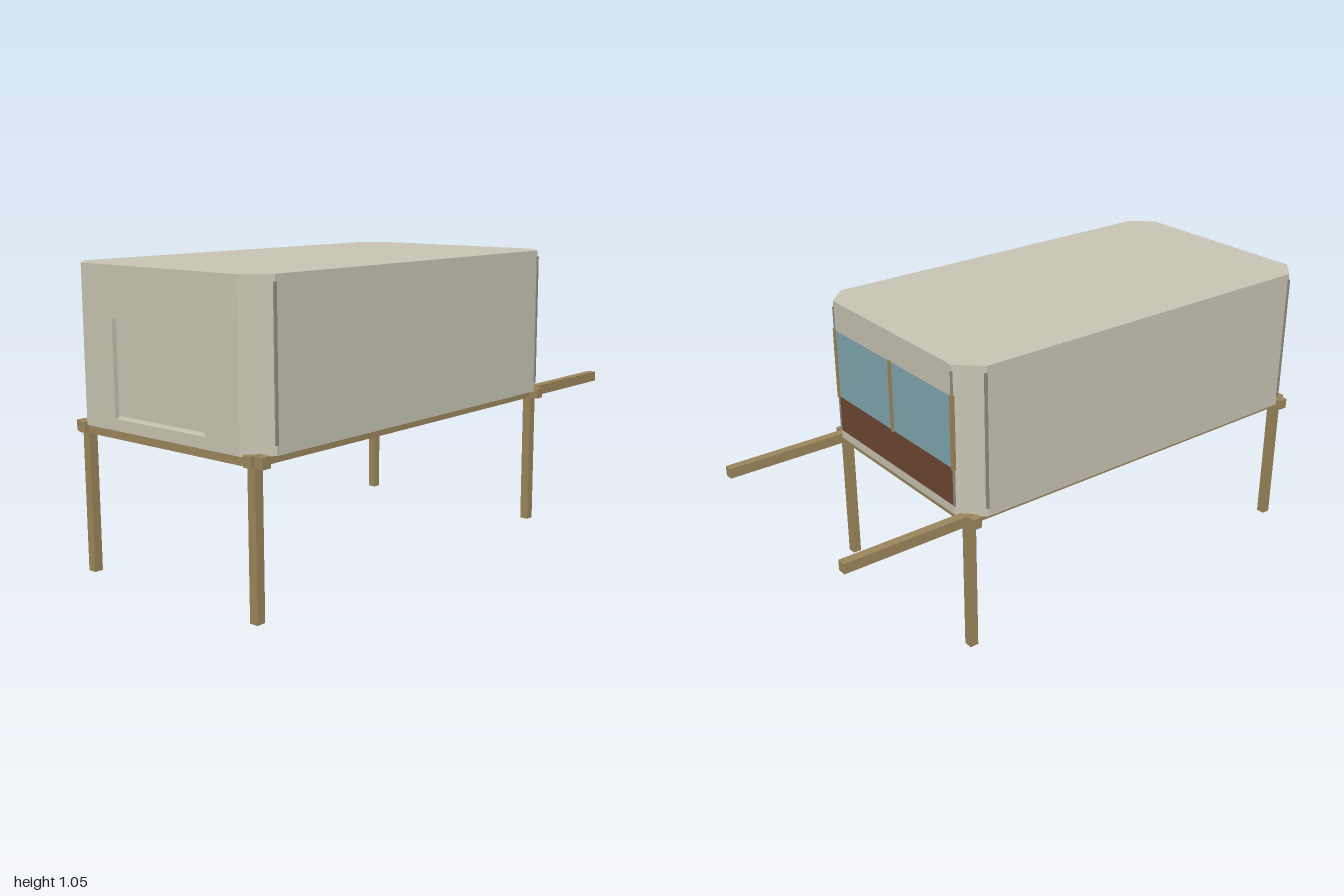
import * as THREE from 'three';

export function createModel() {
  const root = new THREE.Group();
  root.name = 'raisedCabin';

  const mat = (name, color) => {
    const m = new THREE.MeshStandardMaterial({ color });
    m.name = name;
    return m;
  };
  const cream = mat('cream', 0xc8c4b4);
  const grey = mat('grey', 0x8f8d84);
  const wood = mat('wood', 0x9c865c);
  const brown = mat('brown', 0x6e4630);
  const glass = mat('glass', 0x82a7b1);

  const add = (name, geometry, material) => {
    const mesh = new THREE.Mesh(geometry, material);
    mesh.name = name;
    root.add(mesh);
    return mesh;
  };
  // Box given by its minimum and maximum corners
  const box = (name, material, x0, x1, y0, y1, z0, z1) => {
    const mesh = add(name, new THREE.BoxGeometry(x1 - x0, y1 - y0, z1 - z0), material);
    mesh.position.set((x0 + x1) / 2, (y0 + y1) / 2, (z0 + z1) / 2);
    return mesh;
  };
  // Upright panel between two plan points, facing outward when run counter-clockwise
  const panel = (name, material, [xa, za], [xb, zb], y0, y1) => {
    const dx = xb - xa, dz = zb - za;
    const mesh = add(name, new THREE.PlaneGeometry(Math.hypot(dx, dz), y1 - y0), material);
    mesh.position.set((xa + xb) / 2, (y0 + y1) / 2, (za + zb) / 2);
    mesh.rotation.y = Math.atan2(-dz, dx);
    return mesh;
  };

  const X0 = -1, X1 = 0.555, Z = 0.435, C = 0.077;
  const BASE = 0.52, TOP = 1.047;

  // Plan outline with cut corners, starting on the front wall
  const outline = [
    [X0 + C, Z], [X1 - C, Z], [X1, Z - C], [X1, C - Z],
    [X1 - C, -Z], [X0 + C, -Z], [X0, C - Z], [X0, Z - C],
  ];
  const plan = new THREE.Shape(outline.map(([x, z]) => new THREE.Vector2(x, -z)));

  // Roof and floor
  const roof = add('roof', new THREE.ShapeGeometry(plan), cream);
  roof.rotation.x = -Math.PI / 2;
  roof.position.y = TOP;
  const floor = add('floor', new THREE.ExtrudeGeometry(plan, { depth: 0.012, bevelEnabled: false }), cream);
  floor.rotation.x = -Math.PI / 2;
  floor.position.y = 0.514;

  // Long walls and cut corners
  const wallNames = { 0: 'frontWall', 1: 'corner', 3: 'corner', 4: 'backWall', 5: 'corner', 7: 'corner' };
  for (const i in wallNames) {
    panel(wallNames[i], cream, outline[i], outline[(+i + 1) % 8], BASE, TOP);
  }

  // Glazed end: bands stacked from the floor up
  [
    ['endSill', cream, BASE, 0.545],
    ['endLowerPanel', brown, 0.545, 0.682],
    ['endWindow', glass, 0.682, 0.938],
    ['endHeader', cream, 0.938, TOP],
  ].forEach(([name, m, y0, y1]) => panel(name, m, outline[2], outline[3], y0, y1));
  for (const z of [-0.357, 0, 0.357]) {
    box('windowPost', wood, X1 - 0.008, X1 + 0.005, 0.678, 0.943, z - 0.007, z + 0.007);
  }

  // Open end: wall with a rectangular hatch
  const e = Z - C;
  const end = new THREE.Shape([[-e, BASE], [e, BASE], [e, TOP], [-e, TOP]].map(p => new THREE.Vector2(...p)));
  end.holes.push(new THREE.Path([[-0.21, 0.553], [-0.21, 0.88], [0.21, 0.88], [0.21, 0.553]].map(p => new THREE.Vector2(...p))));
  const endWall = add('hatchWall', new THREE.ExtrudeGeometry(end, { depth: 0.015, bevelEnabled: false }), cream);
  endWall.rotation.y = -Math.PI / 2;
  endWall.position.x = X0 + 0.015;

  // Inner partition with a small bracket
  box('partition', cream, -0.875, -0.86, 0.526, 0.86, -0.36, 0.09);
  box('bracket', brown, -0.875, -0.86, 0.655, 0.78, 0.09, 0.15);

  // Narrow trim beside each cut corner
  for (const s of [-1, 1]) {
    for (const x of [X0 + C, X1 - C]) {
      box('cornerTrim', grey, x - 0.005, x + 0.005, 0.545, 1.025, s * Z - 0.003, s * Z + 0.003);
    }
    box('endTrim', grey, X1 - 0.003, X1 + 0.002, 0.545, 1.025, s * e - 0.004, s * e + 0.004);
  }

  // Wooden frame: long beams with carrying ends, cross beams and legs
  for (const s of [-1, 1]) {
    const z = s * 0.387;
    box('longBeam', wood, -1, 1, 0.484, 0.521, z - 0.016, z + 0.016);
    for (const x of [-0.967, 0.519]) {
      box('leg', wood, x - 0.016, x + 0.016, 0, 0.49, z - 0.016, z + 0.016);
    }
  }
  for (const x of [-0.967, 0.519]) {
    box('crossBeam', wood, x - 0.017, x + 0.017, 0.482, 0.5195, -Z, Z);
  }

  return root;
}
